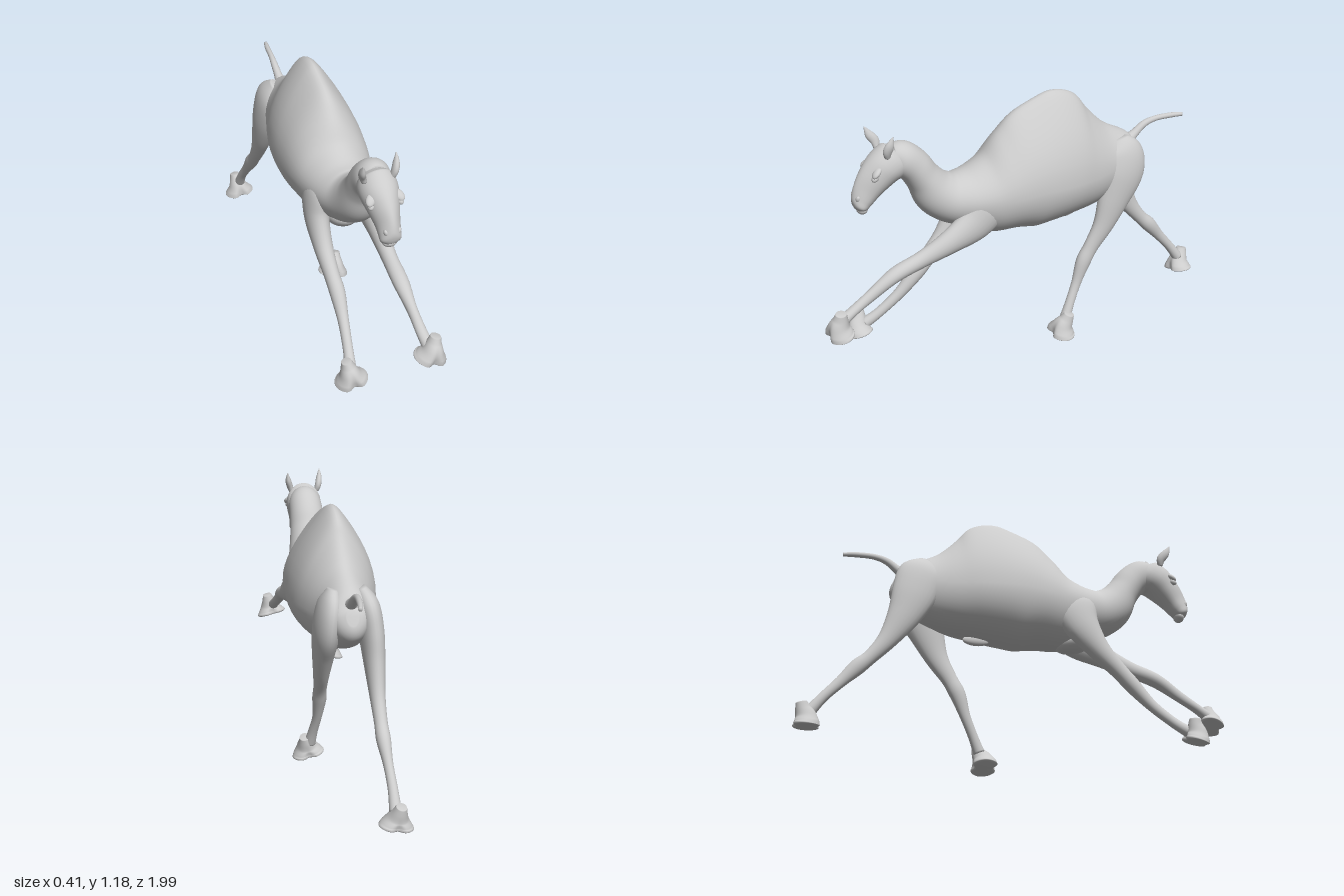
import * as THREE from 'three';

const material = new THREE.MeshStandardMaterial({ color: 0xcccccc });

// Catmull-Rom interpolation of whole section rows
function sampleRow(rows, t) {
  const n = rows.length - 1;
  const i = Math.min(Math.floor(t * n), n - 1);
  const f = t * n - i;
  const row = k => rows[Math.max(0, Math.min(n, k))];
  return rows[0].map((_, c) => {
    const [p0, p1, p2, p3] = [row(i - 1)[c], row(i)[c], row(i + 1)[c], row(i + 2)[c]];
    return p1 + 0.5 * f * (p2 - p0 + f * (2 * p0 - 5 * p1 + 4 * p2 - p3 + f * (3 * (p1 - p2) + p3 - p0)));
  });
}

// Closed skin through sections: x, y, z, half width, radius up, radius down, taper of the top, cleft
function loft(name, sections, sides = 32, steps = 6) {
  const rows = sections.map(s => [s[0], s[1], s[2], s[3], s[4], s[5] ?? s[4], s[6] ?? 0, s[7] ?? 0]);
  const rings = (rows.length - 1) * steps;
  const pos = [], index = [];
  const centre = t => new THREE.Vector3(...sampleRow(rows, t).slice(0, 3));
  for (let i = 0; i <= rings; i++) {
    const t = i / rings;
    const [x, y, z, w, up, down, taper, cleft] = sampleRow(rows, t);
    const T = centre(Math.min(1, t + 0.01)).sub(centre(Math.max(0, t - 0.01))).normalize();
    const side = new THREE.Vector3(1, 0, 0).addScaledVector(T, -T.x).normalize();
    const top = new THREE.Vector3().crossVectors(T, side);
    for (let j = 0; j < sides; j++) {
      const a = j / sides * Math.PI * 2, c = Math.cos(a), s = Math.sin(a);
      const narrow = 1 - taper * Math.max(0, s) ** 2;
      const notch = 1 - cleft * Math.exp(-((c / 0.3) ** 2));
      const p = new THREE.Vector3(x, y, z)
        .addScaledVector(side, w * c * narrow)
        .addScaledVector(top, (s > 0 ? up : down) * s * notch);
      pos.push(p.x, p.y, p.z);
    }
  }
  for (let i = 0; i < rings; i++) {
    for (let j = 0; j < sides; j++) {
      const k = (j + 1) % sides, a = i * sides, b = a + sides;
      index.push(a + j, a + k, b + j, a + k, b + k, b + j);
    }
  }
  // End caps
  const first = pos.length / 3, last = rings * sides;
  pos.push(...rows[0].slice(0, 3), ...rows[rows.length - 1].slice(0, 3));
  for (let j = 0; j < sides; j++) {
    const k = (j + 1) % sides;
    index.push(first, k, j, first + 1, last + j, last + k);
  }
  const g = new THREE.BufferGeometry();
  g.setAttribute('position', new THREE.Float32BufferAttribute(pos, 3));
  g.setIndex(index);
  g.computeVertexNormals();
  const mesh = new THREE.Mesh(g, material);
  mesh.name = name;
  return mesh;
}

function ellipsoid(name, position, scale, rotation = [0, 0, 0]) {
  const mesh = new THREE.Mesh(new THREE.SphereGeometry(1, 24, 16), material);
  mesh.name = name;
  mesh.position.set(...position);
  mesh.scale.set(...scale);
  mesh.rotation.set(...rotation);
  return mesh;
}

// Flared foot with two toes, standing on its own origin
function foot(name, position, pitch, roll) {
  const g = new THREE.Group();
  g.name = name;
  g.add(loft('hoof', [
    [0, 0.105, -0.022, 0.022, 0.024, 0.024, 0, 0],
    [0, 0.075, -0.014, 0.032, 0.036, 0.032, 0, 0],
    [0, 0.045, -0.002, 0.046, 0.05, 0.046, 0, 0.1],
    [0, 0.02, 0.002, 0.065, 0.062, 0.056, 0, 0.28],
    [0, 0.006, 0.002, 0.073, 0.066, 0.06, 0, 0.34],
    [0, 0, 0.002, 0.064, 0.056, 0.052, 0, 0.34]
  ], 40));
  g.position.set(...position);
  g.rotation.set(pitch, 0, roll);
  return g;
}

export function createModel() {
  const model = new THREE.Group();
  model.name = 'camel';

  // Trunk with hump, running on into the neck
  model.add(loft('bodyAndNeck', [
    [0.01, 0.84, -0.58, 0.025, 0.025, 0.04, 0],
    [0.01, 0.83, -0.555, 0.07, 0.075, 0.1, 0.1],
    [0.01, 0.82, -0.5, 0.098, 0.13, 0.13, 0.2],
    [0.01, 0.8, -0.4, 0.125, 0.215, 0.16, 0.35],
    [0.01, 0.79, -0.3, 0.155, 0.31, 0.185, 0.45],
    [0.01, 0.79, -0.2, 0.18, 0.383, 0.2, 0.52],
    [0.01, 0.79, -0.1, 0.192, 0.393, 0.213, 0.55],
    [0.01, 0.79, 0, 0.192, 0.35, 0.223, 0.5],
    [0.01, 0.78, 0.1, 0.184, 0.275, 0.2, 0.4],
    [0.01, 0.77, 0.2, 0.165, 0.18, 0.185, 0.25],
    [0.01, 0.77, 0.3, 0.14, 0.13, 0.135, 0.1],
    [0.01, 0.785, 0.38, 0.115, 0.113, 0.112, 0.05],
    [0.01, 0.83, 0.445, 0.098, 0.098, 0.1, 0.05],
    [0.01, 0.9, 0.497, 0.085, 0.08, 0.075, 0.05],
    [0.01, 0.96, 0.54, 0.08, 0.08, 0.072, 0],
    [0.01, 1.01, 0.595, 0.074, 0.075, 0.075, 0],
    [0.01, 1.025, 0.64, 0.05, 0.05, 0.05, 0]
  ], 48));

  // Head: skull to muzzle
  const head = new THREE.Group();
  head.name = 'head';
  head.add(loft('skull', [
    [0.006, 1.03, 0.58, 0.04, 0.04, 0.04],
    [0.006, 1.005, 0.615, 0.075, 0.088, 0.075],
    [0.006, 0.98, 0.66, 0.082, 0.087, 0.077],
    [0.008, 0.935, 0.705, 0.069, 0.083, 0.065, 0.15],
    [0.01, 0.885, 0.745, 0.053, 0.072, 0.05, 0.25],
    [0.01, 0.85, 0.772, 0.047, 0.055, 0.043, 0.2],
    [0.01, 0.825, 0.788, 0.043, 0.034, 0.033, 0],
    [0.01, 0.812, 0.796, 0.02, 0.015, 0.015, 0]
  ], 36));
  head.add(ellipsoid('lowerLip', [0.01, 0.812, 0.775], [0.034, 0.022, 0.025], [0.7, 0, 0]));
  for (const s of [-1, 1]) {
    head.add(ellipsoid('brow', [0.007 + s * 0.06, 0.985, 0.722], [0.02, 0.013, 0.03], [0.7, s * 0.5, 0]));
    head.add(ellipsoid('eye', [0.007 + s * 0.061, 0.963, 0.73], [0.014, 0.014, 0.02], [0.6, s * 0.4, 0]));
    head.add(ellipsoid('nostril', [0.01 + s * 0.026, 0.868, 0.798], [0.01, 0.018, 0.012], [0.2, 0, s * -0.4]));
    const tipZ = s > 0 ? 0.65 : 0.712;
    head.add(loft('ear', [
      [s * 0.06, 1.04, 0.67, 0.012, 0.012],
      [s * 0.07, 1.07, 0.672, 0.015, 0.02],
      [s * 0.078, 1.1, (tipZ + 0.675) / 2, 0.013, 0.018],
      [s * 0.082, 1.136, tipZ, 0.002, 0.002]
    ], 16));
  }
  model.add(head);

  // Legs in full stride, each with its foot: x, y, z, half width, half depth
  const legs = {
    leftFrontLeg: [
      [0.09, 0.8, 0.2, 0.03, 0.05], [0.1, 0.75, 0.23, 0.055, 0.1], [0.11, 0.68, 0.3, 0.052, 0.085],
      [0.115, 0.62, 0.42, 0.044, 0.056], [0.11, 0.565, 0.55, 0.034, 0.038], [0.11, 0.52, 0.68, 0.035, 0.033],
      [0.115, 0.455, 0.79, 0.023, 0.026], [0.12, 0.402, 0.88, 0.024, 0.022], [0.127, 0.365, 0.94, 0.026, 0.026]],
    rightFrontLeg: [
      [-0.08, 0.81, 0.21, 0.03, 0.05], [-0.095, 0.75, 0.23, 0.055, 0.1], [-0.11, 0.65, 0.265, 0.052, 0.082],
      [-0.11, 0.54, 0.345, 0.042, 0.052], [-0.105, 0.45, 0.435, 0.034, 0.038], [-0.1, 0.39, 0.495, 0.034, 0.036],
      [-0.105, 0.3, 0.58, 0.024, 0.026], [-0.12, 0.22, 0.675, 0.022, 0.023], [-0.135, 0.175, 0.74, 0.026, 0.026]],
    leftHindLeg: [
      [0.065, 0.92, -0.45, 0.025, 0.04], [0.08, 0.86, -0.46, 0.05, 0.1], [0.095, 0.76, -0.455, 0.056, 0.112],
      [0.1, 0.64, -0.41, 0.048, 0.083], [0.1, 0.52, -0.36, 0.036, 0.053], [0.095, 0.42, -0.3, 0.029, 0.037],
      [0.092, 0.35, -0.262, 0.031, 0.036], [0.095, 0.25, -0.225, 0.021, 0.024], [0.107, 0.16, -0.185, 0.021, 0.022],
      [0.117, 0.09, -0.155, 0.026, 0.026]],
    rightHindLeg: [
      [-0.045, 0.92, -0.45, 0.025, 0.04], [-0.07, 0.85, -0.47, 0.05, 0.1], [-0.085, 0.74, -0.5, 0.052, 0.1],
      [-0.09, 0.62, -0.545, 0.044, 0.073], [-0.09, 0.5, -0.61, 0.033, 0.044], [-0.09, 0.41, -0.68, 0.028, 0.032],
      [-0.09, 0.355, -0.735, 0.03, 0.035], [-0.095, 0.28, -0.8, 0.021, 0.025], [-0.1, 0.2, -0.87, 0.021, 0.022],
      [-0.1, 0.125, -0.925, 0.026, 0.026]]
  };
  for (const [name, sections] of Object.entries(legs)) model.add(loft(name, sections, 24));
  model.add(
    foot('leftFrontFoot', [0.13, 0.316, 0.943], 0.25, -0.22),
    foot('rightFrontFoot', [-0.138, 0.128, 0.76], 0.2, 0.22),
    foot('leftHindFoot', [0.12, 0.02, -0.135], -0.05, -0.22),
    foot('rightHindFoot', [-0.1, 0.06, -0.936], 0, 0.16)
  );

  // Tail streaming behind, chest pad and belly fold
  model.add(loft('tail', [
    [0.01, 0.87, -0.53, 0.03, 0.03], [0.008, 0.9, -0.57, 0.02, 0.02], [0.006, 0.935, -0.62, 0.016, 0.016],
    [0.01, 0.953, -0.68, 0.013, 0.013], [0.018, 0.957, -0.76, 0.012, 0.012], [0.028, 0.956, -0.815, 0.009, 0.009]
  ], 16));
  model.add(ellipsoid('chestPad', [0.01, 0.625, 0.26], [0.07, 0.05, 0.1], [-0.3, 0, 0]));
  model.add(ellipsoid('bellyFold', [0.012, 0.585, -0.2], [0.016, 0.025, 0.06]));
  return model;
}
